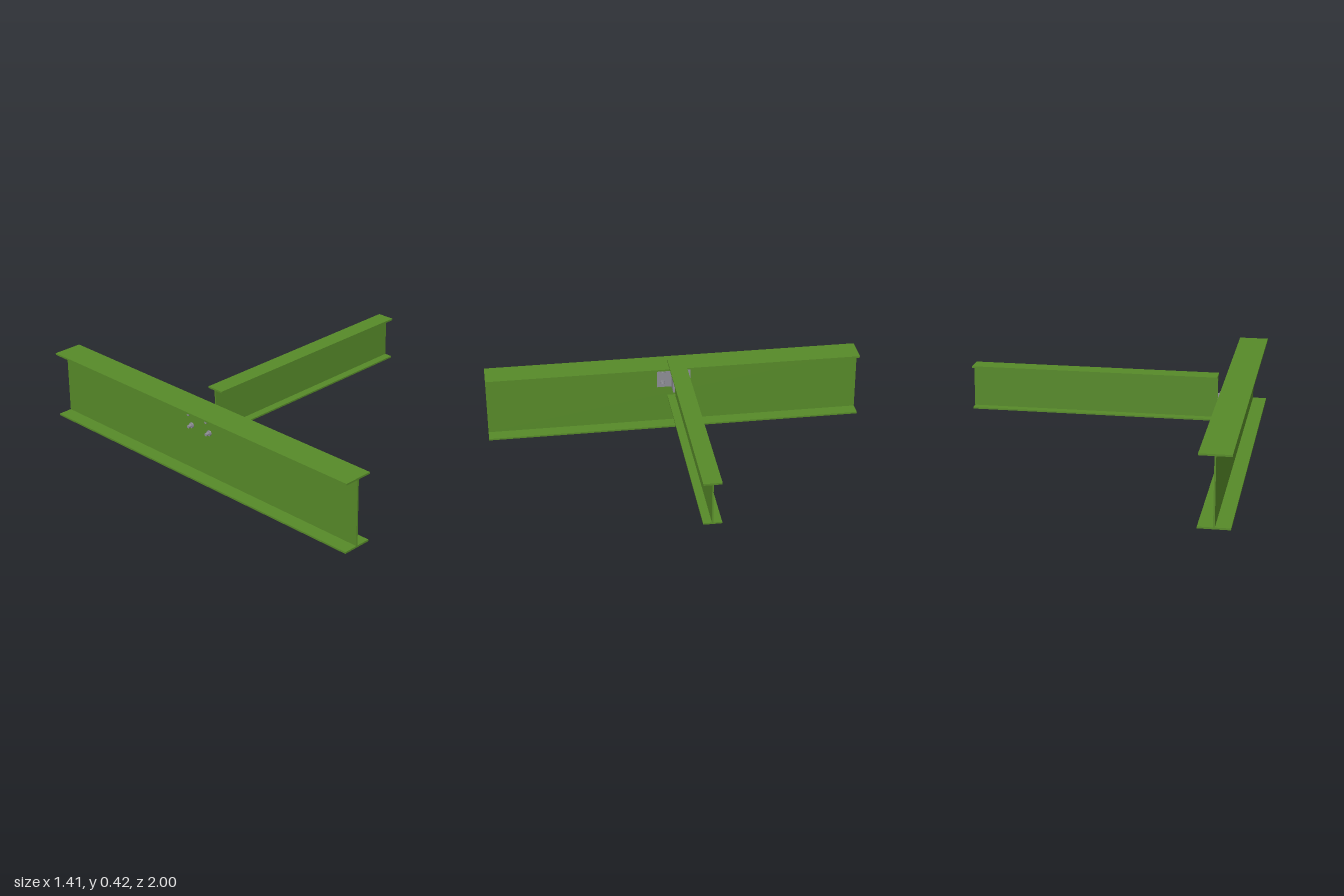
import * as THREE from 'three';

const green = new THREE.MeshStandardMaterial({ color: 0x578a29 });
const steel = new THREE.MeshStandardMaterial({ color: 0x8e8e96 });

function add(parent, name, geometry, material, x = 0, y = 0, z = 0) {
  const mesh = new THREE.Mesh(geometry, material);
  mesh.name = name;
  mesh.position.set(x, y, z);
  parent.add(mesh);
  return mesh;
}

// I-section centred on x, standing on y = 0, extruded along z about the origin
function iBeam(width, height, web, flange, length) {
  const w = width / 2, t = web / 2, h = height, f = flange;
  const right = [[w, 0], [w, f], [t, f], [t, h - f], [w, h - f], [w, h]];
  const left = right.map(([x, y]) => [-x, y]).reverse();
  const shape = new THREE.Shape([...right, ...left].map(([x, y]) => new THREE.Vector2(x, y)));
  return new THREE.ExtrudeGeometry(shape, { depth: length, bevelEnabled: false })
    .translate(0, 0, -length / 2);
}

// Clip angle: L in plan, one leg on the girder web, the other along the beam web
function clipAngle(height) {
  const leg = 0.081, inner = 0.004, outer = 0.09, t = 0.009;
  const points = [[0, inner], [leg, inner], [leg, inner + t], [t, inner + t], [t, outer], [0, outer]];
  const shape = new THREE.Shape(points.map(([x, y]) => new THREE.Vector2(x, y)));
  return new THREE.ExtrudeGeometry(shape, { depth: height, bevelEnabled: false })
    .rotateX(-Math.PI / 2);
}

// Bolt along x with a hexagonal head and nut
function bolt() {
  const group = new THREE.Group();
  group.name = 'bolt';
  const rod = (name, r, x0, x1, sides) => add(group, name,
    new THREE.CylinderGeometry(r, r, x1 - x0, sides).rotateZ(Math.PI / 2), steel, (x0 + x1) / 2);
  rod('boltShank', 0.008, -0.66, -0.588, 20);
  rod('boltNut', 0.014, -0.643, -0.633, 6);
  rod('boltHead', 0.014, -0.616, -0.602, 6);
  return group;
}

export function createModel() {
  const model = new THREE.Group();
  model.name = 'beamConnection';

  // Main girder along z
  add(model, 'girder', iBeam(0.153, 0.352, 0.008, 0.009, 2), green, -0.629, 0, 0);

  // Secondary beam along x, its top corner cut back slightly
  const beam = new THREE.Group();
  beam.name = 'beam';
  model.add(beam);
  const box = (parent, name, material, x0, x1, y0, y1, depth) => add(parent, name,
    new THREE.BoxGeometry(x1 - x0, y1 - y0, depth), material, (x0 + x1) / 2, (y0 + y1) / 2, 0);
  box(beam, 'topFlange', green, -0.535, 0.705, 0.411, 0.42, 0.09);
  box(beam, 'bottomFlange', green, -0.545, 0.705, 0.197, 0.205, 0.09);
  box(beam, 'beamWeb', green, -0.535, 0.705, 0.205, 0.411, 0.007);

  // Tongue between the two angles, joining beam to girder
  const joint = new THREE.Group();
  joint.name = 'connection';
  model.add(joint);
  box(joint, 'webTongue', steel, -0.613, -0.535, 0.21, 0.328, 0.007);

  // Mirrored clip angles with two bolts each
  for (const side of [1, -1]) {
    const geometry = clipAngle(0.118);
    // extruded profile lies on -z; turn it over for the +z side
    if (side > 0) geometry.rotateX(Math.PI).translate(0, 0.118, 0);
    add(joint, side > 0 ? 'frontAngle' : 'backAngle', geometry, steel, -0.625, 0.215, 0);
    for (const y of [0.243, 0.309]) {
      const b = bolt();
      b.position.set(0, y, side * 0.061);
      joint.add(b);
    }
  }
  return model;
}
